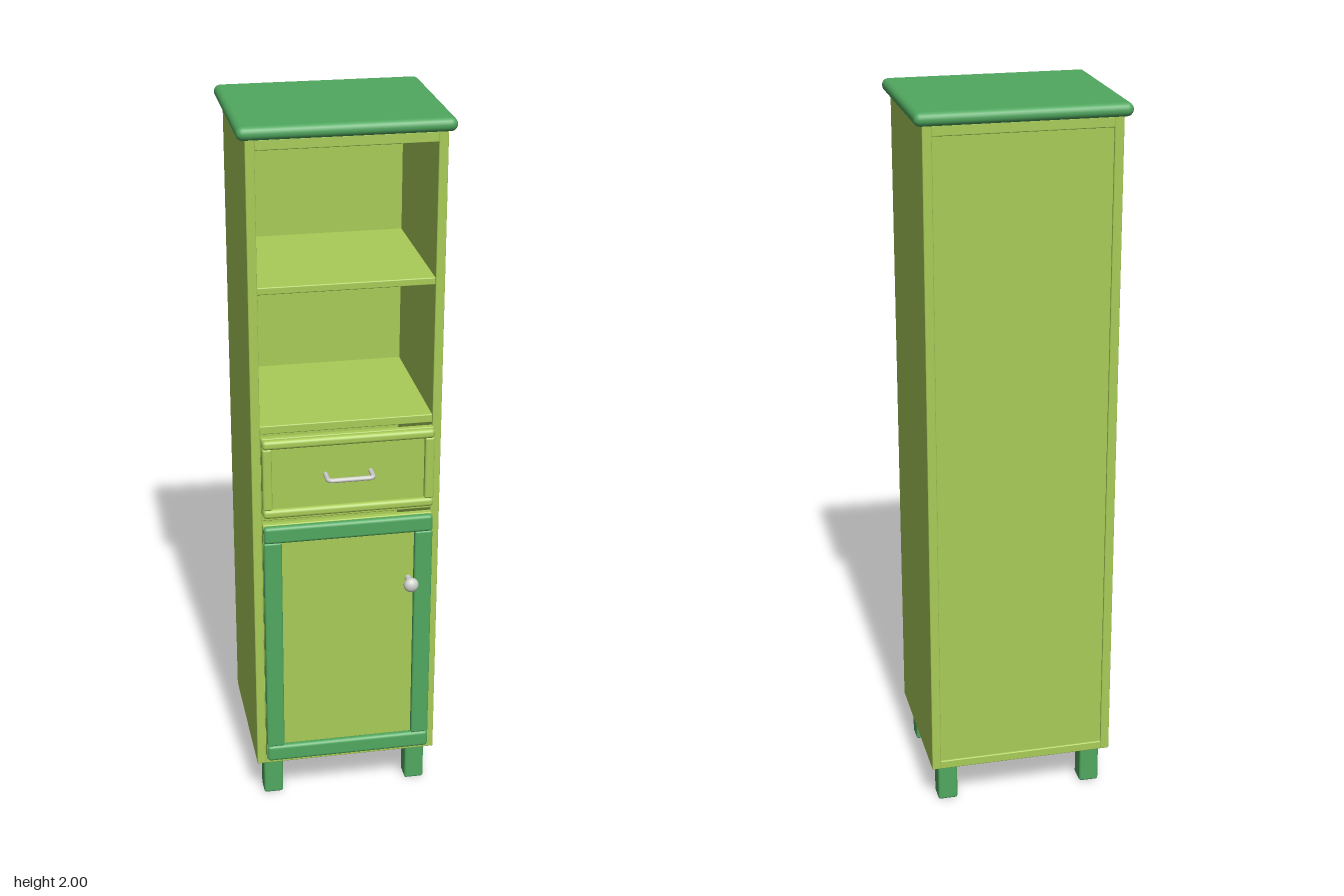
import * as THREE from 'three';
import { RoundedBoxGeometry } from 'three/addons/geometries/RoundedBoxGeometry.js';

function material(name, color) {
  const m = new THREE.MeshStandardMaterial({ color });
  m.name = name;
  return m;
}

export function createModel() {
  const lime = material('lime paint', 0xa9cc58);
  const green = material('green paint', 0x51a860);
  const metal = material('pale metal', 0xcfcfcb);

  const model = new THREE.Group();
  model.name = 'tallCabinet';

  function add(parent, name, geometry, mat) {
    const mesh = new THREE.Mesh(geometry, mat);
    mesh.name = name;
    parent.add(mesh);
    return mesh;
  }

  // Softly rounded board given by its extents on each axis
  function board(parent, name, [x0, x1], [y0, y1], [z0, z1], mat, radius = 0.003) {
    const geo = new RoundedBoxGeometry(x1 - x0, y1 - y0, z1 - z0, 3, radius);
    const mesh = add(parent, name, geo, mat);
    mesh.position.set((x0 + x1) / 2, (y0 + y1) / 2, (z0 + z1) / 2);
    return mesh;
  }

  function group(name) {
    const g = new THREE.Group();
    g.name = name;
    model.add(g);
    return g;
  }

  // Carcass
  const carcass = group('carcass');
  const inner = [-0.236, 0.236];
  board(carcass, 'rightSide', [-0.26, -0.235], [0.12, 1.966], [-0.255, 0.19], lime);
  board(carcass, 'leftSide', [0.235, 0.26], [0.12, 1.966], [-0.255, 0.19], lime);
  board(carcass, 'bottomPanel', inner, [0.12, 0.145], [-0.255, 0.19], lime);
  board(carcass, 'topPanel', inner, [1.937, 1.966], [-0.255, 0.19], lime);
  board(carcass, 'backPanel', inner, [0.14, 1.94], [-0.25, -0.235], lime);

  // Shelves and divider
  [['upperShelf', 1.556, 1.576], ['drawerCover', 1.163, 1.187], ['divider', 0.905, 0.927]]
    .forEach(([name, y0, y1]) => board(carcass, name, inner, [y0, y1], [-0.24, 0.186], lime));

  // Overhanging rounded top
  board(model, 'worktop', [-0.282, 0.282], [1.964, 2.0], [-0.272, 0.205], green, 0.0175);

  // Legs
  for (const x of [-0.21, 0.21]) {
    for (const z of [-0.199, 0.139]) {
      board(model, 'leg', [x - 0.028, x + 0.028], [0, 0.124], [z - 0.029, z + 0.029], green, 0.007);
    }
  }

  // Framed front: flat panel behind two rails and two stiles
  function framedFront(name, y0, y1, width, mat) {
    const g = group(name);
    const w = 0.235;
    const z = [0.208, 0.23];
    board(g, 'panel', [-w, w], [y0, y1], [0.191, 0.209], lime);
    board(g, 'bottomRail', [-w, w], [y0, y0 + width], z, mat, 0.01);
    board(g, 'topRail', [-w, w], [y1 - width, y1], z, mat, 0.01);
    for (const s of [-1, 1]) {
      const x = s * (w - width / 2);
      board(g, 'stile', [x - width / 2, x + width / 2],
        [y0 + width - 0.002, y1 - width + 0.002], [0.208, 0.227], mat, 0.006);
    }
    return g;
  }
  const drawer = framedFront('drawer', 0.93, 1.16, 0.026, lime);
  const door = framedFront('door', 0.15, 0.903, 0.05, green);

  // Drawer pull bent from round bar
  const path = new THREE.CurvePath();
  const v = (x, z) => new THREE.Vector3(x, 1.045, z);
  path.add(new THREE.LineCurve3(v(-0.062, 0.208), v(-0.062, 0.242)));
  path.add(new THREE.QuadraticBezierCurve3(v(-0.062, 0.242), v(-0.062, 0.255), v(-0.049, 0.255)));
  path.add(new THREE.LineCurve3(v(-0.049, 0.255), v(0.049, 0.255)));
  path.add(new THREE.QuadraticBezierCurve3(v(0.049, 0.255), v(0.062, 0.255), v(0.062, 0.242)));
  path.add(new THREE.LineCurve3(v(0.062, 0.242), v(0.062, 0.208)));
  add(drawer, 'drawerPull', new THREE.TubeGeometry(path, 80, 0.0065, 12), metal);

  // Door knob with a short neck
  const neck = add(door, 'knobNeck', new THREE.CylinderGeometry(0.009, 0.009, 0.04, 20), metal);
  neck.rotation.x = Math.PI / 2;
  neck.position.set(0.171, 0.704, 0.227);
  const knob = add(door, 'knob', new THREE.SphereGeometry(0.021, 28, 18), metal);
  knob.scale.z = 0.8;
  knob.position.set(0.171, 0.704, 0.252);

  return model;
}
